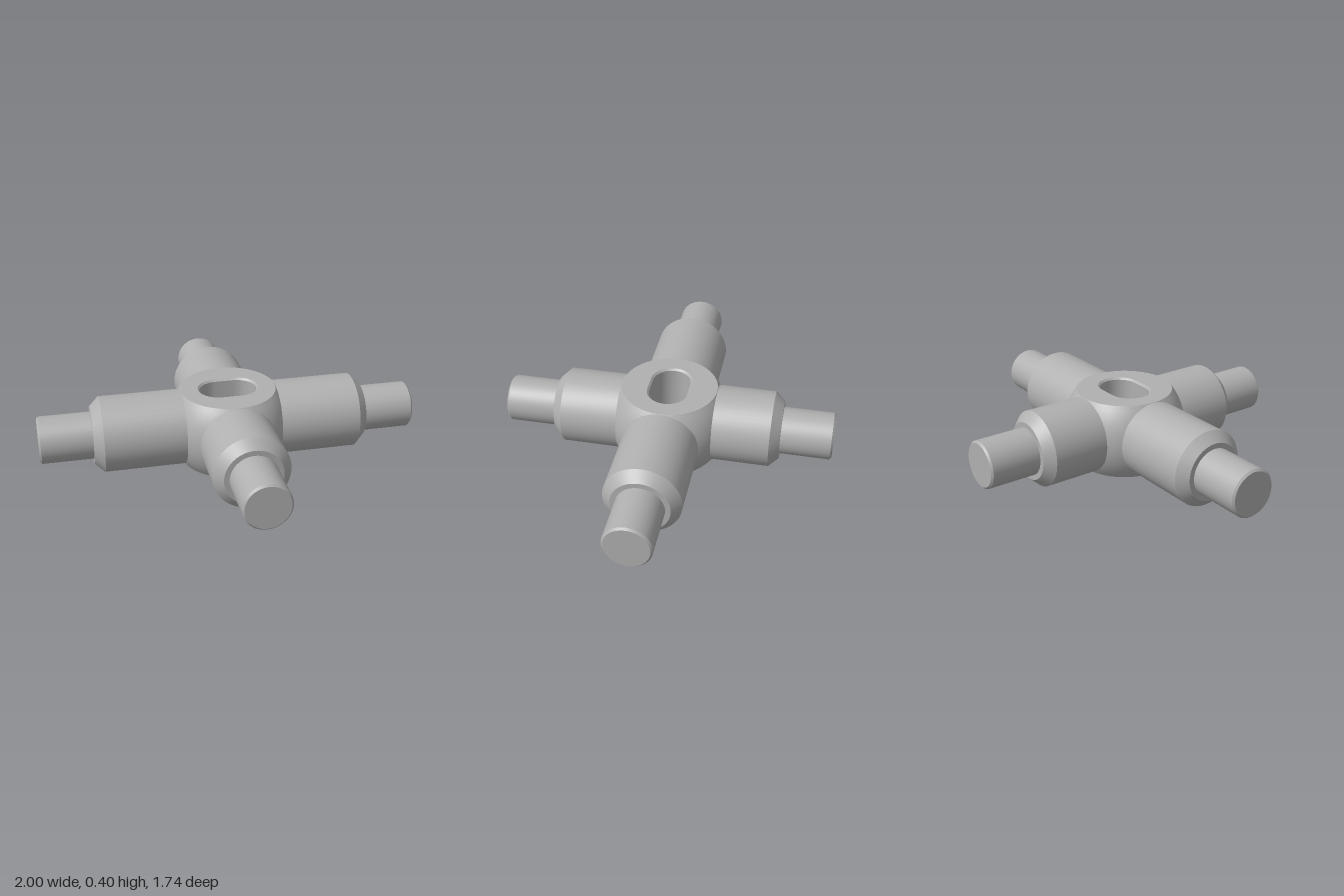
import * as THREE from 'three';
import { toCreasedNormals } from 'three/addons/utils/BufferGeometryUtils.js';

const MID = 0.2; // height of the arm axes
const SIDES = 48;

function lathe(profile) {
  const points = profile.map(([r, y]) => new THREE.Vector2(r, y));
  return toCreasedNormals(new THREE.LatheGeometry(points, SIDES), 0.5);
}

// Rounded slot outline: half circles of radius r, centres at x = +-0.05
function slotOutline(r) {
  const points = [];
  for (let side = 0; side < 2; side++) {
    for (let i = 0; i <= 12; i++) {
      const a = -Math.PI / 2 + Math.PI * (side + i / 12);
      points.push(new THREE.Vector2(Math.cos(a) * r + (side ? -0.05 : 0.05), Math.sin(a) * r));
    }
  }
  return points;
}

// Inner wall of the slot with a small chamfer at both rims
function slotWallGeometry() {
  const loops = [[0.11, 0.2], [0.1, 0.19], [0.1, -0.19], [0.11, -0.2]];
  const positions = [], index = [];
  let n = 0;
  for (const [r, y] of loops) {
    const outline = slotOutline(r);
    n = outline.length;
    for (const p of outline) positions.push(p.x, y, p.y);
  }
  for (let k = 0; k < loops.length - 1; k++) {
    for (let i = 0; i < n; i++) {
      const j = (i + 1) % n;
      const a = k * n + i, b = k * n + j;
      index.push(a, a + n, b, b, a + n, b + n);
    }
  }
  const geometry = new THREE.BufferGeometry();
  geometry.setAttribute('position', new THREE.Float32BufferAttribute(positions, 3));
  geometry.setIndex(index);
  return toCreasedNormals(geometry, 0.5);
}

export function createModel() {
  const model = new THREE.Group();
  const steel = new THREE.MeshStandardMaterial({ color: 0xb0b0b0 });
  steel.name = 'grey steel';

  function add(parent, name, geometry) {
    const mesh = new THREE.Mesh(geometry, steel);
    mesh.name = name;
    parent.add(mesh);
    return mesh;
  }

  // Hub: sphere cut flat at top and bottom, with a slot through it
  const hub = new THREE.Group();
  hub.name = 'hub';
  hub.position.y = MID;
  model.add(hub);

  const band = [];
  const radius = Math.hypot(0.25, 0.2), limit = Math.atan2(0.2, 0.25);
  for (let i = 0; i <= 16; i++) {
    const a = limit * (i / 8 - 1);
    band.push([radius * Math.cos(a), radius * Math.sin(a)]);
  }
  add(hub, 'hubBand', lathe(band));

  const face = new THREE.Shape();
  face.absarc(0, 0, 0.25, 0, Math.PI * 2);
  face.holes.push(new THREE.Path(slotOutline(0.11)));
  for (const s of [1, -1]) {
    const geometry = new THREE.ShapeGeometry(face, SIDES);
    geometry.rotateX(-s * Math.PI / 2).translate(0, s * 0.2, 0);
    add(hub, s > 0 ? 'topFace' : 'bottomFace', geometry);
  }
  add(hub, 'slotWall', slotWallGeometry());

  // Arms: chamfered sleeve and a thinner pin, long along x and shorter along z
  function addArm(name, shoulder, tip, rx, rz) {
    const arm = new THREE.Group();
    arm.name = name;
    arm.position.y = MID;
    arm.rotation.set(rx, 0, rz);
    add(arm, 'sleeve', lathe([[0.198, 0.22], [0.198, shoulder - 0.05], [0.15, shoulder], [0.1, shoulder]]));
    add(arm, 'pin', lathe([[0.123, shoulder - 0.02], [0.123, tip - 0.01], [0.113, tip], [0, tip]]));
    model.add(arm);
  }
  const quarter = Math.PI / 2;
  addArm('leftArm', 0.725, 1, 0, -quarter);
  addArm('rightArm', 0.725, 1, 0, quarter);
  addArm('frontArm', 0.6, 0.87, quarter, 0);
  addArm('backArm', 0.6, 0.87, -quarter, 0);

  return model;
}
